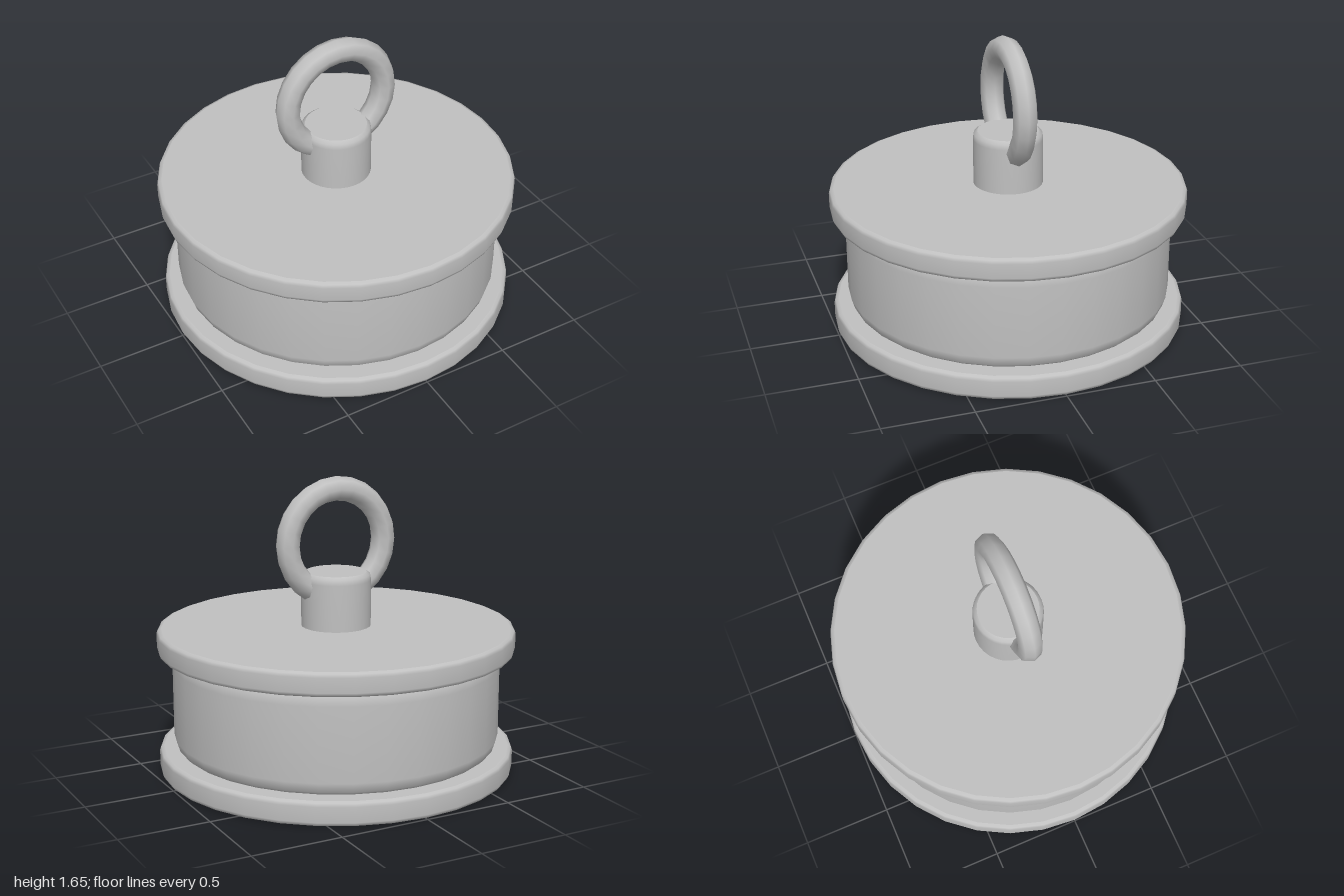
import * as THREE from 'three';

const metal = new THREE.MeshStandardMaterial({ color: 0xc0c0c0 });
metal.name = 'grey metal';

// Closed turned part: smooth bevelled side with crisp flat caps.
// side = [radius, y] points from bottom to top.
function turned(name, side, segments = 32) {
  const first = side[0], last = side[side.length - 1];
  const profile = [[0, first[1]], first, ...side, last, [0, last[1]]];
  const points = profile.map(([r, y]) => new THREE.Vector2(r, y));
  const mesh = new THREE.Mesh(new THREE.LatheGeometry(points, segments), metal);
  mesh.name = name;
  return mesh;
}

// Thin flange with small rounded rims
function flange(name, y0, y1) {
  return turned(name, [
    [0.975, y0], [0.993, y0 + 0.007], [1, y0 + 0.025],
    [1, y1 - 0.025], [0.993, y1 - 0.007], [0.975, y1],
  ]);
}

export function createModel() {
  const group = new THREE.Group();
  group.name = 'eyeletMagnet';

  group.add(flange('bottomFlange', 0, 0.135));
  group.add(flange('topFlange', 0.685, 0.815));

  // Drum between the flanges, softened at both rims
  group.add(turned('drum', [
    [0.88, 0.134], [0.9, 0.152], [0.917, 0.205],
    [0.917, 0.615], [0.9, 0.668], [0.88, 0.686],
  ]));

  // Post carrying the ring
  group.add(turned('post', [
    [0.195, 0.8], [0.195, 1.075], [0.19, 1.105], [0.17, 1.12],
  ]));

  // Ring passing through the post
  const ring = new THREE.Mesh(new THREE.TorusGeometry(0.297, 0.068, 8, 24), metal);
  ring.name = 'ring';
  ring.position.y = 1.285;
  group.add(ring);

  return group;
}
